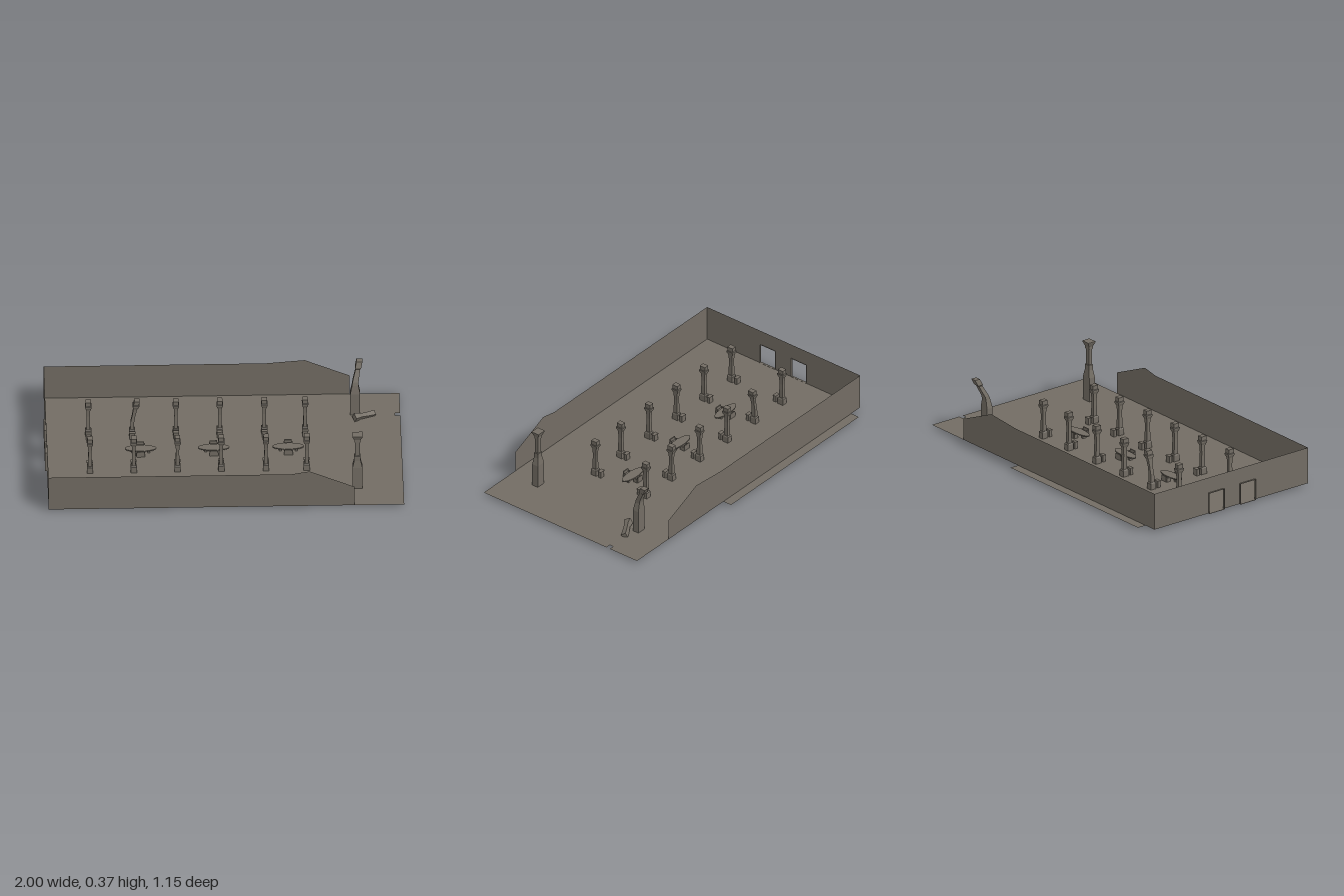
import * as THREE from 'three';

const stone = new THREE.MeshStandardMaterial({ color: 0x726c63, side: THREE.DoubleSide, flatShading: true });
stone.name = 'weathered stone';
const FLOOR = 0.01;

function mesh(name, geometry, parent) {
  const m = new THREE.Mesh(geometry, stone);
  m.name = name;
  parent.add(m);
  return m;
}

function box(name, parent, w, h, d, x, y, z) {
  const m = mesh(name, new THREE.BoxGeometry(w, h, d), parent);
  m.position.set(x, y + h / 2, z);
  return m;
}

function flat(points) {
  return new THREE.ShapeGeometry(new THREE.Shape(points.map(([x, y]) => new THREE.Vector2(x, y))));
}

// Closed rectangular loft; each section is [y, width, depth, offsetX, offsetZ]
function loft(sections) {
  const pos = [], index = [];
  sections.forEach(([y, w, d, ox = 0, oz = 0]) => {
    for (const [sx, sz] of [[-1, 1], [1, 1], [1, -1], [-1, -1]]) {
      pos.push(ox + sx * w / 2, y, oz + sz * d / 2);
    }
  });
  for (let s = 0; s < sections.length - 1; s++) {
    for (let i = 0; i < 4; i++) {
      const a = s * 4 + i, b = s * 4 + (i + 1) % 4;
      index.push(a, b, b + 4, a, b + 4, a + 4);
    }
  }
  const t = (sections.length - 1) * 4;
  index.push(0, 2, 1, 0, 3, 2, t, t + 1, t + 2, t, t + 2, t + 3);
  const g = new THREE.BufferGeometry();
  g.setAttribute('position', new THREE.Float32BufferAttribute(pos, 3));
  g.setIndex(index);
  const out = g.toNonIndexed();
  out.computeVertexNormals();
  return out;
}

// Hall pillar with base, waisted shaft and capital; lean shifts the upper half
function hallPillar(parent, x, z, inward, leanX = 0, leanZ = 0) {
  const g = new THREE.Group();
  g.name = 'hallPillar';
  g.position.set(x, FLOOR, z);
  const at = (y, w, d) => {
    const k = Math.max(0, (y - 0.08) / 0.15);
    return [y, w, d, leanX * k, leanZ * k];
  };
  mesh('pillarBase', loft([[0, 0.034, 0.038], [0.036, 0.034, 0.038], [0.042, 0.026, 0.028]]), g);
  mesh('pillarShaft', loft([at(0.04, 0.02, 0.026), at(0.09, 0.02, 0.024), at(0.13, 0.018, 0.021), at(0.18, 0.022, 0.027)]), g);
  mesh('pillarCapital', loft([at(0.175, 0.022, 0.028), at(0.19, 0.034, 0.042), at(0.2, 0.036, 0.044),
    at(0.203, 0.03, 0.036), at(0.227, 0.03, 0.036)]), g);
  box('pillarFootPost', g, 0.03, 0.036, 0.018, 0, 0, inward * 0.042);
  box('pillarFootPostCap', g, 0.034, 0.005, 0.022, 0, 0.036, inward * 0.042);
  parent.add(g);
}

// Oval table with a chair on either side
function tableSet(parent, x) {
  const g = new THREE.Group();
  g.name = 'tableSet';
  g.position.set(x, FLOOR, 0.018);
  const top = mesh('tableTop', new THREE.CylinderGeometry(1, 1, 0.006, 24), g);
  top.scale.set(0.088, 1, 0.031);
  top.position.y = 0.023;
  for (const s of [-1, 1]) {
    box('tableLeg', g, 0.014, 0.021, 0.024, s * 0.045, 0, 0);
    box('chairSeat', g, 0.042, 0.016, 0.026, 0, 0, s * 0.038);
    box('chairBack', g, 0.042, 0.034, 0.006, 0, 0, s * 0.051);
    for (const e of [-1, 1]) box('chairArm', g, 0.006, 0.024, 0.026, e * 0.022, 0, s * 0.038);
  }
  parent.add(g);
}

export function createModel() {
  const model = new THREE.Group();
  model.name = 'ruinedHall';

  // Floor slab with side ledge and a nick in the open end
  const floor = mesh('floor', flat([
    [-0.99, 0.575], [1, 0.575], [1, -0.305], [0.97, -0.305], [0.97, -0.33], [1, -0.33],
    [1, -0.525], [0.23, -0.525], [0.23, -0.58], [-0.91, -0.58], [-0.91, -0.525], [-0.99, -0.525],
  ]), model);
  floor.rotation.x = Math.PI / 2;
  floor.position.y = FLOOR;

  // Long walls with broken ends
  for (const [name, z, kink] of [['frontWall', 0.575, 0.37], ['backWall', -0.525, 0.25]]) {
    mesh(name, flat([
      [-0.99, FLOOR], [0.72, FLOOR], [0.72, 0.135], [0.47, 0.243], [kink, 0.225], [-0.99, 0.225],
    ]), model).position.z = z;
  }

  // End wall with two doorways
  const doors = [[-0.138, -0.03], [0.085, 0.195]];
  const outline = [[-0.525, FLOOR]];
  for (const [a, b] of doors) outline.push([a, FLOOR], [a, 0.133], [b, 0.133], [b, FLOOR]);
  outline.push([0.575, FLOOR], [0.575, 0.225], [-0.525, 0.225]);
  const endWall = mesh('endWall', flat(outline), model);
  endWall.rotation.y = -Math.PI / 2;
  endWall.position.x = -0.99;
  for (const [a, b] of doors) {
    for (const z of [a, b]) box('doorJamb', model, 0.012, 0.123, 0.002, -0.994, FLOOR, z);
    box('doorLintel', model, 0.012, 0.002, b - a, -0.994, 0.132, (a + b) / 2);
    box('doorSill', model, 0.012, 0.002, b - a, -0.994, FLOOR - 0.001, (a + b) / 2);
  }

  // Two rows of pillars, one of them leaning
  [-0.75, -0.505, -0.26, -0.015, 0.235, 0.463].forEach((x, i) => {
    hallPillar(model, x, 0.206, -1);
    if (i === 1) hallPillar(model, x, -0.157, 1, 0.028, -0.005);
    else hallPillar(model, x, -0.157, 1);
  });

  for (const x of [-0.462, -0.053, 0.364]) tableSet(model, x);

  // Tall gate column, intact
  const gate = mesh('gateColumn', loft([
    [0, 0.056, 0.04], [0.14, 0.056, 0.04], [0.185, 0.036, 0.029], [0.215, 0.036, 0.029],
    [0.217, 0.028, 0.022], [0.308, 0.028, 0.022], [0.31, 0.034, 0.028], [0.325, 0.034, 0.028],
    [0.35, 0.056, 0.05], [0.355, 0.056, 0.05],
  ]), model);
  gate.position.set(0.742, FLOOR, 0.393);

  // Second gate column, bent and broken at the top
  const broken = mesh('brokenGateColumn', loft([
    [0, 0.056, 0.04], [0.14, 0.056, 0.04], [0.19, 0.036, 0.03, 0, -0.004], [0.21, 0.034, 0.028, 0.002, -0.009],
    [0.275, 0.026, 0.024, 0.016, -0.041], [0.28, 0.034, 0.034, 0.017, -0.044], [0.316, 0.034, 0.034, 0.025, -0.06],
  ]), model);
  broken.position.set(0.748, FLOOR, -0.335);

  // Fallen column top lying beside it
  const fallen = mesh('fallenColumnTop', loft([
    [0, 0.03, 0.03], [0.05, 0.028, 0.026], [0.09, 0.026, 0.024, 0.004], [0.1, 0.032, 0.03, 0.004], [0.13, 0.036, 0.038, 0.004],
  ]), model);
  fallen.quaternion.setFromUnitVectors(new THREE.Vector3(0, 1, 0), new THREE.Vector3(-0.88, 0.1, 0.46).normalize());
  fallen.position.set(0.855, 0.016, -0.318);

  return model;
}
